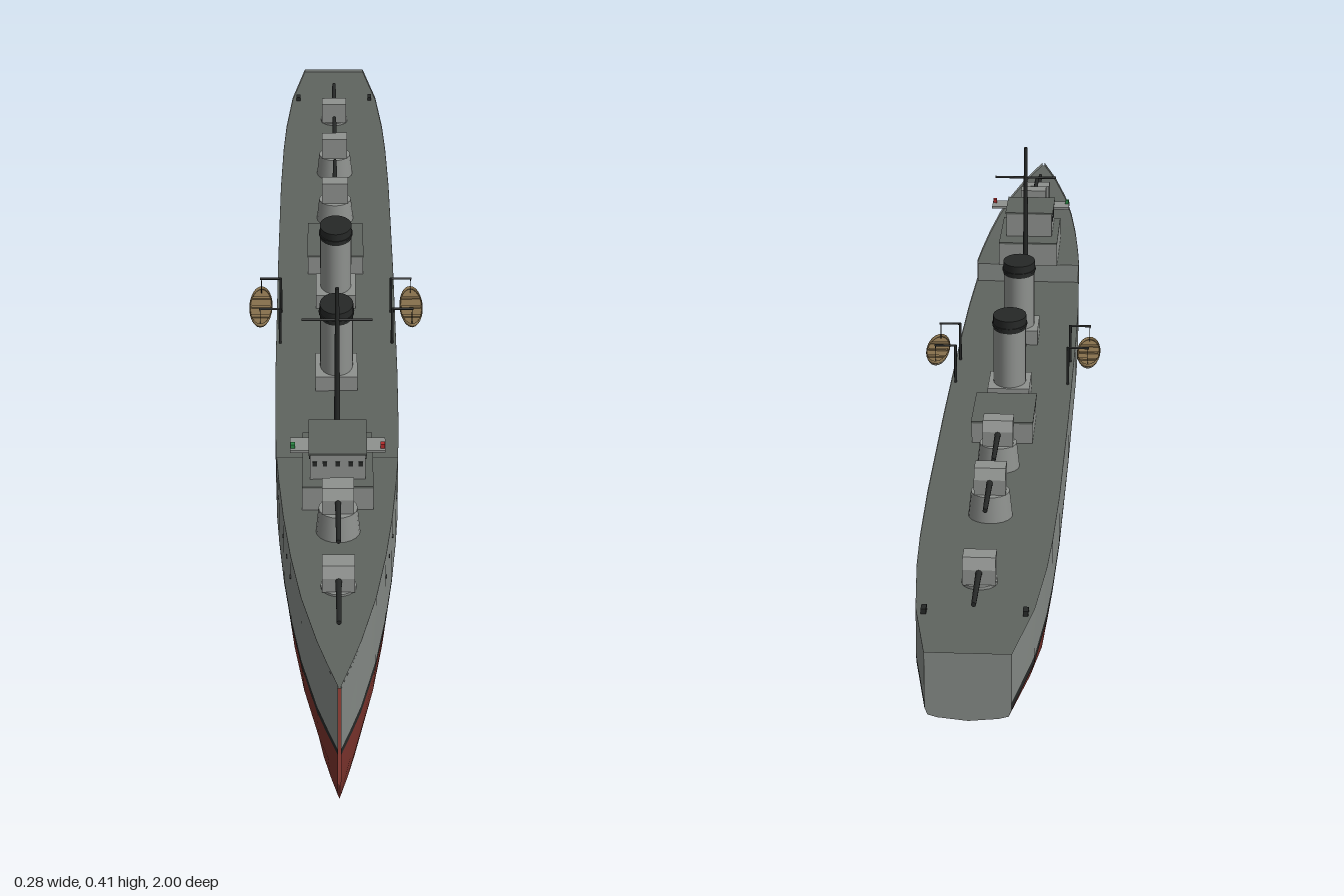
import * as THREE from 'three';
import { toCreasedNormals } from 'three/addons/utils/BufferGeometryUtils.js';

const mat = (name, color, side = THREE.FrontSide) => {
  const m = new THREE.MeshStandardMaterial({ color, side });
  m.name = name;
  return m;
};
const hullGrey = mat('hull grey', 0x858a86, THREE.DoubleSide);
const deckGrey = mat('deck grey', 0x5f645f, THREE.DoubleSide);
const bottomRed = mat('bottom red', 0x7a332c, THREE.DoubleSide);
const black = mat('black', 0x262827, THREE.DoubleSide);
const houseGrey = mat('house grey', 0x8e918e);
const wood = mat('boat wood', 0x86704c, THREE.DoubleSide);
const boatPaint = mat('boat paint', 0xb0aa98, THREE.DoubleSide);
const redLight = mat('port light red', 0xb02a2a);
const greenLight = mat('starboard light green', 0x2a8a45);

// Hull stations from bow to stern: z, half beam, keel height, top edge height
const STATIONS = [
  [1, 0.002, 0.002, 0.195], [0.95, 0.016, 0, 0.194], [0.9, 0.029, 0, 0.193], [0.8, 0.05, 0, 0.191],
  [0.7, 0.065, 0, 0.19], [0.6, 0.076, 0, 0.188], [0.5, 0.084, 0, 0.187], [0.435, 0.088, 0, 0.186],
  [0.434, 0.088, 0, 0.155], [0.3, 0.092, 0, 0.155], [0.15, 0.094, 0, 0.155], [-0.2, 0.095, 0, 0.155],
  [-0.5, 0.094, 0, 0.155], [-0.65, 0.091, 0, 0.155], [-0.745, 0.087, 0.001, 0.155],
  [-0.87, 0.077, 0.043, 0.155], [-1, 0.055, 0.06, 0.155],
];

// Half cross-section of one station, keel to top edge; the stem leans forward
function section([z, w, k, top]) {
  const rake = Math.max(0, (z - 0.9) / 0.1) * 0.015;
  return [[0, k], [0.7 * w, k + 0.004], [0.93 * w, k + (0.075 - k) * 0.5], [w, 0.077], [w, 0.087], [w, top]]
    .map(([x, y]) => new THREE.Vector3(x, y, z - rake * (1 - y / 0.195)));
}
const mirror = (p) => new THREE.Vector3(-p.x, p.y, p.z);

// Geometry from a list of four-cornered faces
function quads(list, crease = 0.6) {
  const pts = list.flatMap(([a, b, c, d]) => [a, b, c, a, c, d]);
  return toCreasedNormals(new THREE.BufferGeometry().setFromPoints(pts), crease);
}

function add(parent, name, geo, material, x = 0, y = 0, z = 0) {
  const m = new THREE.Mesh(geo, material);
  m.name = name;
  m.position.set(x, y, z);
  parent.add(m);
  return m;
}
// Box standing on y
const box = (parent, name, material, w, h, d, x, y, z) =>
  add(parent, name, new THREE.BoxGeometry(w, h, d), material, x, y + h / 2, z);
const cyl = (parent, name, material, r0, r1, h, x, y, z, n = 20) =>
  add(parent, name, new THREE.CylinderGeometry(r1, r0, h, n), material, x, y + h / 2, z);

function buildHull(g) {
  const rings = STATIONS.map(section);
  const band = (j0, j1) => {
    const out = [];
    for (let i = 0; i < rings.length - 1; i++) for (let j = j0; j < j1; j++) {
      const q = [rings[i][j], rings[i + 1][j], rings[i + 1][j + 1], rings[i][j + 1]];
      out.push(q, q.map(mirror).reverse());
    }
    return quads(out);
  };
  add(g, 'lowerHull', band(0, 3), bottomRed);
  add(g, 'waterlineBelt', band(3, 4), black);
  add(g, 'upperHull', band(4, 5), hullGrey);
  // Flat transom
  const s = rings.at(-1);
  add(g, 'transom', quads([0, 1, 2, 3, 4].map((j) => [mirror(s[j]), mirror(s[j + 1]), s[j + 1], s[j]])), hullGrey);
  // Deck plating a little below the top edge
  const deck = [];
  for (let i = 0; i < rings.length - 1; i++) {
    if (i === 7) continue;
    const [a, b] = [rings[i], rings[i + 1]].map((r) => r[5].clone().setY(r[5].y - 0.005));
    deck.push([mirror(a), a, b, mirror(b)]);
  }
  add(g, 'deck', quads(deck), deckGrey);
  box(g, 'forecastleBulkhead', hullGrey, 0.174, 0.034, 0.002, 0, 0.147, 0.4345);
  // Portholes along the forecastle
  for (const side of [-1, 1]) for (const [z, w] of [[0.7, 0.065], [0.65, 0.0705], [0.6, 0.076], [0.5, 0.084]]) {
    const p = cyl(g, 'porthole', black, 0.003, 0.003, 0.003, side * w, 0.1535, z, 10);
    p.rotation.z = Math.PI / 2;
  }
}

// Gun on an optional round platform; dir is +1 forward, -1 aft
function buildGun(g, name, z, y, platform, dir) {
  const gun = new THREE.Group();
  gun.name = name;
  gun.position.set(0, y, z);
  gun.rotation.y = dir > 0 ? 0 : Math.PI;
  if (platform) cyl(gun, 'gunPlatform', houseGrey, 0.031, 0.027, platform, 0, 0, 0);
  else cyl(gun, 'gunBase', houseGrey, 0.024, 0.024, 0.005, 0, 0, 0);
  const y0 = platform || 0.004;
  const shape = new THREE.Shape([[-0.018, 0], [0.017, 0], [0.017, 0.022], [0.009, 0.037], [-0.018, 0.037]]
    .map(([a, b]) => new THREE.Vector2(a, b)));
  const geo = new THREE.ExtrudeGeometry(shape, { depth: 0.044, bevelEnabled: false });
  geo.translate(0, 0, -0.022).rotateY(-Math.PI / 2);
  add(gun, 'gunShield', geo, houseGrey, 0, y0, 0);
  const barrel = cyl(gun, 'gunBarrel', black, 0.0045, 0.0032, 0.1, 0, y0 - 0.032, 0.062, 10);
  barrel.rotation.x = Math.PI / 2;
  g.add(gun);
}

function buildBridge(g) {
  box(g, 'lowerBridge', houseGrey, 0.1, 0.038, 0.145, 0, 0.18, 0.503);
  box(g, 'lowerBridgeRoof', deckGrey, 0.1, 0.003, 0.145, 0, 0.218, 0.503);
  box(g, 'upperBridge', houseGrey, 0.078, 0.04, 0.088, 0, 0.221, 0.512);
  box(g, 'upperBridgeRoof', deckGrey, 0.082, 0.003, 0.092, 0, 0.261, 0.512);
  box(g, 'bridgeWing', houseGrey, 0.134, 0.004, 0.034, 0, 0.257, 0.527);
  box(g, 'starboardLight', greenLight, 0.006, 0.007, 0.008, -0.063, 0.26, 0.535);
  box(g, 'portLight', redLight, 0.006, 0.007, 0.008, 0.063, 0.26, 0.535);
  for (const x of [-0.032, -0.018, 0, 0.018, 0.032])
    box(g, 'bridgeWindow', black, 0.006, 0.007, 0.002, x, 0.243, 0.5565);
  for (const side of [-1, 1]) for (const z of [0.49, 0.512, 0.534])
    box(g, 'bridgeSideWindow', black, 0.002, 0.007, 0.007, side * 0.0392, 0.243, z);
}

function buildFunnel(g, name, z) {
  const f = new THREE.Group();
  f.name = name;
  f.position.set(0, 0.15, z);
  box(f, 'funnelBase', houseGrey, 0.064, 0.024, 0.074, 0, 0, 0);
  cyl(f, 'funnelPipe', houseGrey, 1, 1, 0.09, 0, 0.022, 0, 28).scale.set(0.025, 1, 0.033);
  cyl(f, 'funnelCap', black, 1, 1, 0.02, 0, 0.112, 0, 28).scale.set(0.0255, 1, 0.034);
  cyl(f, 'funnelRim', black, 1, 1, 0.003, 0, 0.117, 0, 28).scale.set(0.027, 1, 0.0355);
  g.add(f);
}

// Open boat hung outboard from two davits
function buildBoat(g, side) {
  const boat = new THREE.Group();
  boat.name = side > 0 ? 'leftBoat' : 'rightBoat';
  boat.position.set(side * 0.119, 0.187, -0.007);
  const shell = new THREE.SphereGeometry(1, 20, 8, 0, Math.PI * 2, Math.PI / 2, Math.PI / 2);
  add(boat, 'boatHull', shell, boatPaint).scale.set(0.018, 0.015, 0.063);
  const top = new THREE.CircleGeometry(1, 20).rotateX(-Math.PI / 2);
  add(boat, 'boatInside', top, wood, 0, -0.002, 0).scale.set(0.0175, 1, 0.062);
  const rim = new THREE.TorusGeometry(1, 0.06, 6, 24).rotateX(Math.PI / 2);
  add(boat, 'boatGunwale', rim, wood).scale.set(0.0175, 0.04, 0.0615);
  for (const z of [-0.03, 0, 0.03]) box(boat, 'boatSeat', wood, 0.03, 0.002, 0.007, 0, -0.002, z);
  g.add(boat);
  for (const z of [-0.055, 0.045]) {
    cyl(g, 'davitPost', black, 0.0022, 0.0022, 0.064, side * 0.088, 0.148, z, 8);
    const arm = cyl(g, 'davitArm', black, 0.0018, 0.0018, 0.034, side * 0.104, 0.194, z, 8);
    arm.rotation.z = Math.PI / 2;
    cyl(g, 'davitFall', black, 0.0007, 0.0007, 0.027, side * 0.119, 0.185, z, 6);
  }
}

export function createModel() {
  const g = new THREE.Group();
  g.name = 'warship';
  buildHull(g);

  buildGun(g, 'bowGun', 0.768, 0.184, 0, 1);
  buildGun(g, 'raisedBowGun', 0.63, 0.182, 0.04, 1);
  buildGun(g, 'forwardAftGun', -0.387, 0.15, 0.037, -1);
  buildGun(g, 'middleAftGun', -0.563, 0.15, 0.037, -1);
  buildGun(g, 'sternGun', -0.783, 0.149, 0, -1);

  buildBridge(g);

  // Mast with a yard
  cyl(g, 'mast', black, 0.005, 0.003, 0.265, 0, 0.15, 0.352, 10);
  const yard = cyl(g, 'mastYard', black, 0.002, 0.002, 0.102, 0, 0.312, 0.352, 8);
  yard.rotation.z = Math.PI / 2;

  buildFunnel(g, 'frontFunnel', 0.156);
  buildFunnel(g, 'rearFunnel', -0.104);

  // Triple tubes on a turntable
  cyl(g, 'tubeTurntable', houseGrey, 0.018, 0.018, 0.008, 0, 0.15, 0.022);
  for (const x of [-0.011, 0, 0.011]) {
    const tube = cyl(g, 'launchTube', deckGrey, 0.005, 0.005, 0.124, x, 0.101, 0.022, 12);
    tube.rotation.x = Math.PI / 2;
  }

  box(g, 'deckhouse', houseGrey, 0.09, 0.031, 0.116, 0, 0.15, -0.243);
  box(g, 'deckhouseRoof', deckGrey, 0.092, 0.003, 0.118, 0, 0.181, -0.243);

  for (const side of [-1, 1]) {
    buildBoat(g, side);
    box(g, 'mooringPost', black, 0.007, 0.008, 0.014, side * 0.066, 0.149, -0.875);
  }
  return g;
}
